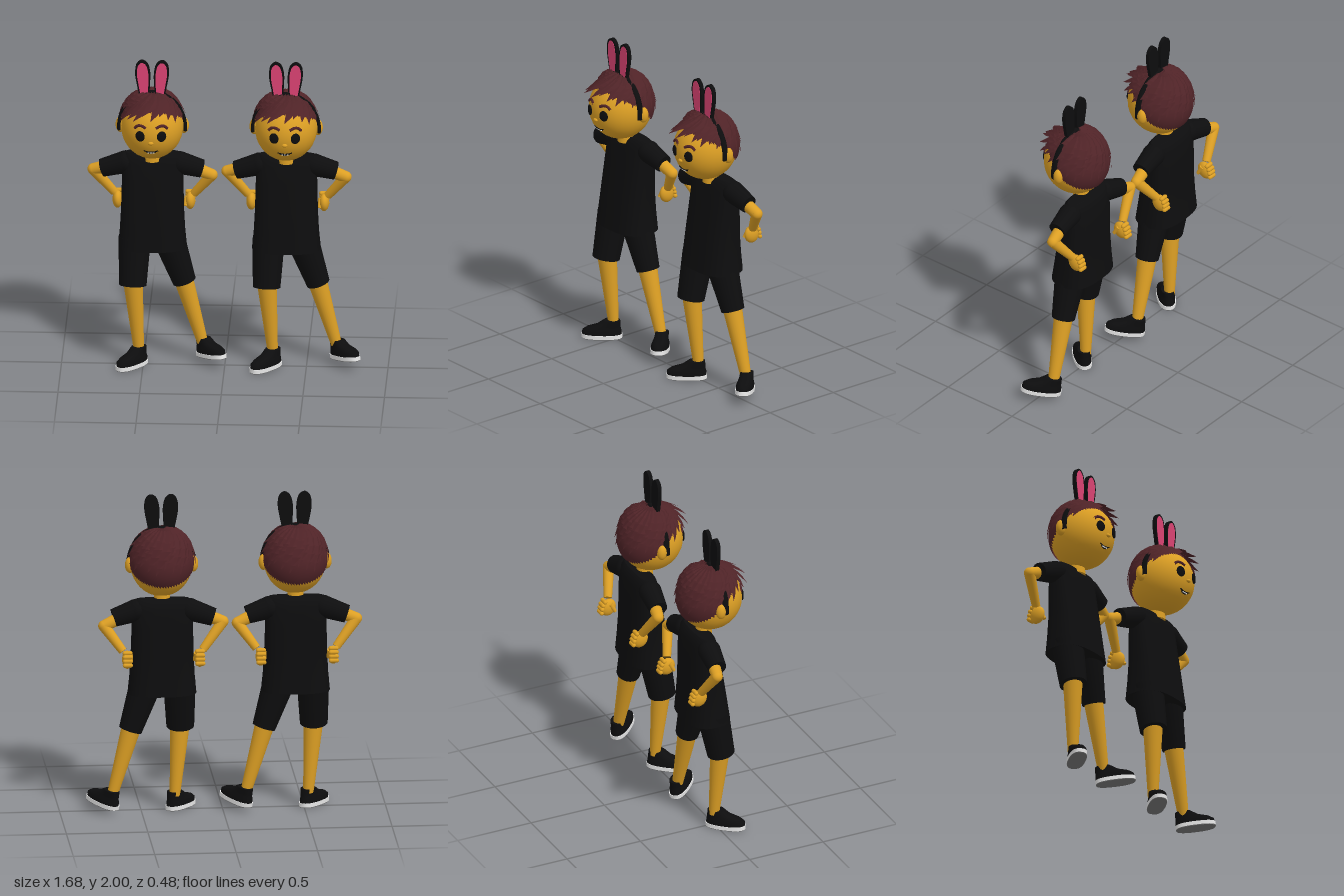
import * as THREE from 'three';

const mat = (name, color, side = THREE.FrontSide) => {
  const m = new THREE.MeshStandardMaterial({ color, side });
  m.name = name;
  return m;
};
const V = (x, y, z) => new THREE.Vector3(x, y, z);

export function createModel() {
  const skin = mat('skin', 0xdc9f24), black = mat('black cloth', 0x0d0d0e);
  const hair = mat('brown hair', 0x4f2327, THREE.DoubleSide), pink = mat('pink', 0xdb4373);
  const white = mat('white', 0xeaeaea), grey = mat('grey tread', 0x777777);

  const add = (parent, name, geo, material, pos = [0, 0, 0], scale = [1, 1, 1]) => {
    const m = new THREE.Mesh(geo, material);
    m.name = name;
    m.position.set(...pos);
    m.scale.set(...scale);
    parent.add(m);
    return m;
  };
  const ball = (p, name, material, pos, scale) =>
    add(p, name, new THREE.SphereGeometry(1, 32, 20), material, pos, scale);

  // Tapered cylinder between two points
  const limb = (p, name, material, a, b, ra, rb) => {
    const A = V(...a), B = V(...b);
    const m = add(p, name, new THREE.CylinderGeometry(rb, ra, A.distanceTo(B), 24), material);
    m.position.copy(A).lerp(B, 0.5);
    m.quaternion.setFromUnitVectors(V(0, 1, 0), B.sub(A).normalize());
    return m;
  };

  // Closed loft through superellipse rings [y, halfWidth, centreZ, halfDepth], bottom to top
  const loft = (rings, power = 2, n = 40) => {
    const pos = [], idx = [];
    const pt = ([y, w, cz, d], j) => {
      const t = (j / n) * Math.PI * 2, c = Math.cos(t), s = Math.sin(t);
      pos.push(w * Math.sign(c) * Math.abs(c) ** (2 / power), y,
        cz + d * Math.sign(s) * Math.abs(s) ** (2 / power));
    };
    rings.forEach((r, i) => {
      for (let j = 0; j < n; j++) {
        pt(r, j);
        if (!i) continue;
        const k = (j + 1) % n, a = (i - 1) * n, b = i * n;
        idx.push(a + j, b + j, a + k, a + k, b + j, b + k);
      }
    });
    [rings[0], rings[rings.length - 1]].forEach((r, top) => {
      const o = pos.length / 3;
      for (let j = 0; j < n; j++) pt(r, j);
      pos.push(0, r[0], r[2]);
      for (let j = 0; j < n; j++) {
        const k = (j + 1) % n;
        idx.push(o + n, o + (top ? k : j), o + (top ? j : k));
      }
    });
    const g = new THREE.BufferGeometry();
    g.setAttribute('position', new THREE.Float32BufferAttribute(pos, 3));
    g.setIndex(idx);
    g.computeVertexNormals();
    return g;
  };

  const HY = 1.565; // head centre height
  const faceZ = (x, y) => 0.2 * Math.sqrt(1 - (x / 0.19) ** 2 - ((y - HY) / 0.2) ** 2);
  const onFace = (x, y, out = 0) => V(x, y, faceZ(x, y) + out);

  // Lock of hair: ridged, tapered strip swept over the skull from the crown to its tip
  const lock = (a, swirl, end, width, bulge, lift) => {
    const pos = [], rows = [], N = 7;
    for (let i = 0; i <= N; i++) {
      const s = i / N, th = 0.12 + (end - 0.12) * s, az = a + swirl * (1 - s);
      const r = 1.03 + bulge * Math.sin(Math.PI * Math.min(1, s * 1.1 + 0.12)) + lift * s * s;
      const w = (width * (1 - s ** 3) + 0.002) / Math.max(0.35, Math.sin(th));
      rows.push([[-w, -0.05], [0, 0.05 * (1 - s)], [w, -0.05]].map(([da, dr]) => {
        const R = r + dr * (1 - s), q = az + da;
        return [0.2 * R * Math.sin(q) * Math.sin(th), HY + 0.212 * R * Math.cos(th),
          -0.005 + 0.2 * R * Math.cos(q) * Math.sin(th)];
      }));
    }
    for (let i = 0; i < N; i++) for (let j = 0; j < 2; j++) {
      const A = rows[i][j], B = rows[i + 1][j], C = rows[i][j + 1], D = rows[i + 1][j + 1];
      pos.push(...A, ...B, ...C, ...C, ...B, ...D);
    }
    const g = new THREE.BufferGeometry();
    g.setAttribute('position', new THREE.Float32BufferAttribute(pos, 3));
    g.computeVertexNormals();
    return g;
  };

  const buildHead = (p) => {
    ball(p, 'head', skin, [0, HY, 0], [0.19, 0.201, 0.2]);
    add(p, 'neck', new THREE.CylinderGeometry(0.045, 0.052, 0.12, 24), skin, [0, 1.385, -0.042]);
    ball(p, 'nose', skin, [0, 1.525, 0.197], [0.017, 0.011, 0.012]);
    for (const s of [-1, 1]) {
      ball(p, 'ear', skin, [s * 0.195, HY, -0.02], [0.03, 0.05, 0.032]);
      const eye = ball(p, 'eye', black, onFace(s * 0.066, 1.568, 0.001).toArray(), [0.03, 0.034, 0.009]);
      eye.rotation.y = s * 0.35;
      const brow = [[0.03, 1.62], [0.055, 1.632], [0.08, 1.63], [0.1, 1.613]];
      add(p, 'eyebrow', new THREE.TubeGeometry(new THREE.CatmullRomCurve3(
        brow.map(([x, y]) => onFace(s * x, y))), 12, 0.009, 8), hair);
    }
    // Mouth with a row of teeth
    const lips = (dy) => new THREE.TubeGeometry(new THREE.CatmullRomCurve3(
      [-0.044, -0.022, 0, 0.022, 0.044].map((x) => onFace(x, 1.458 + dy + 5 * x * x))), 16, 0.004, 6);
    add(p, 'mouth', lips(0), black);
    add(p, 'lowerLip', lips(-0.009), black, [0, 0, 0], [0.7, 1, 1]);
    for (const x of [-0.016, 0, 0.016])
      add(p, 'tooth', new THREE.BoxGeometry(0.011, 0.009, 0.008), white, onFace(x, 1.455, 0.001).toArray());

    // Hair cap, pulled down to a hairline that is high in front and low at the nape
    const cap = new THREE.SphereGeometry(1, 64, 20), at = cap.attributes.position;
    for (let i = 0; i < at.count; i++) {
      const a = Math.atan2(at.getX(i), at.getZ(i)), f = Math.acos(THREE.MathUtils.clamp(at.getY(i), -1, 1)) / Math.PI;
      const c = Math.cos(a), th = f * (c > 0 ? 0.85 + 0.5 * (1 - c) : 1.35 + 0.8 * (-c) ** 0.6);
      const r = 1.05 - 0.04 * f ** 6;
      at.setXYZ(i, 0.197 * r * Math.sin(a) * Math.sin(th), 0.206 * r * Math.cos(th), 0.2 * r * Math.cos(a) * Math.sin(th));
    }
    cap.computeVertexNormals();
    add(p, 'hairCap', cap, hair, [0, HY, -0.003]);
    for (let i = 0; i < 26; i++) {
      const a = (i / 26) * Math.PI * 2, c = Math.cos(a), j = [0.1, -0.08, 0.02][i % 3];
      const end = c > 0 ? 1.08 + 0.3 * (1 - c) + j * 0.6 : 1.38 + 0.2 * -c + j;
      add(p, 'hairLock', lock(a, 0.75, end, 0.2, c < 0 ? 0.09 : 0.03, c > 0 ? 0.3 * c * c : 0.06), hair);
    }
    for (let i = 0; i < 13; i++) {
      const a = (i / 13) * Math.PI * 2 + 0.1;
      add(p, 'topLock', lock(a, 0.9, 0.95 + 0.12 * (i % 2), 0.22, 0.06, 0.08), hair);
    }

    // Headband with two tall rabbit ears
    add(p, 'headband', new THREE.TorusGeometry(0.21, 0.011, 10, 48, Math.PI + 0.2).rotateZ(-0.1),
      black, [0, HY, 0.01], [0.97, 1.07, 1.8]);
    const earShape = (w, h) => new THREE.Shape(new THREE.SplineCurve([
      [-0.6, 0], [-0.85, 0.35], [-1, 0.65], [-0.75, 0.9], [0, 1], [0.75, 0.9], [1, 0.65], [0.85, 0.35], [0.6, 0],
    ].map(([x, y]) => new THREE.Vector2(x * w, y * h))).getPoints(40));
    for (const s of [-1, 1]) {
      const e = new THREE.Group();
      e.name = 'rabbitEar';
      e.position.set(s * 0.046, 1.752, 0);
      e.rotation.z = -s * 0.07;
      p.add(e);
      add(e, 'earBack', new THREE.ExtrudeGeometry(earShape(0.046, 0.248), { depth: 0.024, bevelEnabled: false }), black);
      add(e, 'earInner', new THREE.ExtrudeGeometry(earShape(0.035, 0.225), { depth: 0.004, bevelEnabled: false }),
        pink, [0, 0.01, 0.022]);
    }
  };

  const buildArm = (p, s, cuff, elbow, wrist, hand) => {
    const shoulder = [s * 0.165, 1.293, -0.085];
    ball(p, 'shoulder', black, shoulder, [0.07, 0.07, 0.07]);
    limb(p, 'sleeve', black, shoulder, cuff, 0.07, 0.056);
    limb(p, 'upperArm', skin, shoulder, elbow, 0.045, 0.035);
    ball(p, 'elbow', skin, elbow, [0.035, 0.035, 0.035]);
    limb(p, 'forearm', skin, elbow, wrist, 0.035, 0.026);
    // Fist resting on the hip
    const h = new THREE.Group();
    h.name = 'hand';
    h.position.set(...hand);
    h.rotation.x = 0.35;
    p.add(h);
    ball(h, 'palm', skin, [0, 0, 0.005], [0.031, 0.056, 0.05]);
    for (let i = 0; i < 4; i++)
      add(h, 'finger', new THREE.CapsuleGeometry(0.014, 0.035, 4, 10).rotateZ(Math.PI / 2), skin,
        [0, 0.036 - i * 0.025, -0.045 + Math.abs(i - 1.3) * 0.005]);
    limb(h, 'thumb', skin, [-s * 0.02, 0.03, 0], [-s * 0.028, -0.01, 0.045], 0.015, 0.011);
  };

  const buildLeg = (p, hip, hem, ankle, r, foot, yaw, pitch) => {
    limb(p, 'shortsLeg', black, hip, hem, 0.1, r);
    limb(p, 'shin', skin, hem.map((v, i) => v + (hip[i] - v) * 0.1), ankle, 0.061, 0.032);
    const f = new THREE.Group();
    f.name = 'shoe';
    f.position.set(...foot);
    f.rotation.set(pitch, yaw, 0, 'YXZ');
    p.add(f);
    add(f, 'tread', loft([[0, 0.053, 0, 0.122], [0.004, 0.054, 0, 0.124]], 2.5), grey);
    add(f, 'sole', loft([[0.004, 0.055, 0, 0.125], [0.028, 0.055, 0, 0.125]], 2.5), white);
    add(f, 'shoeUpper', loft([[0.027, 0.052, 0, 0.122], [0.05, 0.052, 0, 0.12], [0.068, 0.046, -0.01, 0.105],
      [0.085, 0.042, -0.04, 0.075], [0.116, 0.04, -0.062, 0.05]], 2.3), black);
  };

  const buildFigure = (x) => {
    const p = new THREE.Group();
    p.name = 'figure';
    p.position.x = x;
    buildHead(p);
    add(p, 'shirt', loft([[0.765, 0.21, -0.052, 0.142], [0.87, 0.2, -0.055, 0.13], [1.0, 0.193, -0.06, 0.115],
      [1.2, 0.188, -0.075, 0.095], [1.3, 0.187, -0.08, 0.08], [1.345, 0.182, -0.08, 0.065],
      [1.363, 0.165, -0.08, 0.045]], 2.7), black);
    ball(p, 'hips', black, [0, 0.82, -0.045], [0.18, 0.07, 0.11]);
    buildArm(p, -1, [-0.312, 1.245, -0.1], [-0.367, 1.225, -0.13], [-0.24, 1.06, -0.175], [-0.22, 1.012, -0.185]);
    buildArm(p, 1, [0.302, 1.252, -0.095], [0.362, 1.207, -0.11], [0.25, 1.06, -0.17], [0.225, 1.01, -0.185]);
    buildLeg(p, [-0.108, 0.82, -0.035], [-0.118, 0.525, 0.018], [-0.082, 0.09, -0.012], 0.085,
      [-0.122, 0, 0.048], -0.72, 0);
    buildLeg(p, [0.098, 0.82, -0.045], [0.195, 0.527, -0.058], [0.312, 0.1, -0.07], 0.072,
      [0.363, 0.047, -0.015], 0.72, -0.17);
    return p;
  };

  const model = new THREE.Group();
  model.name = 'twoFigures';
  for (const x of [-0.445, 0.375]) model.add(buildFigure(x));
  return model;
}
